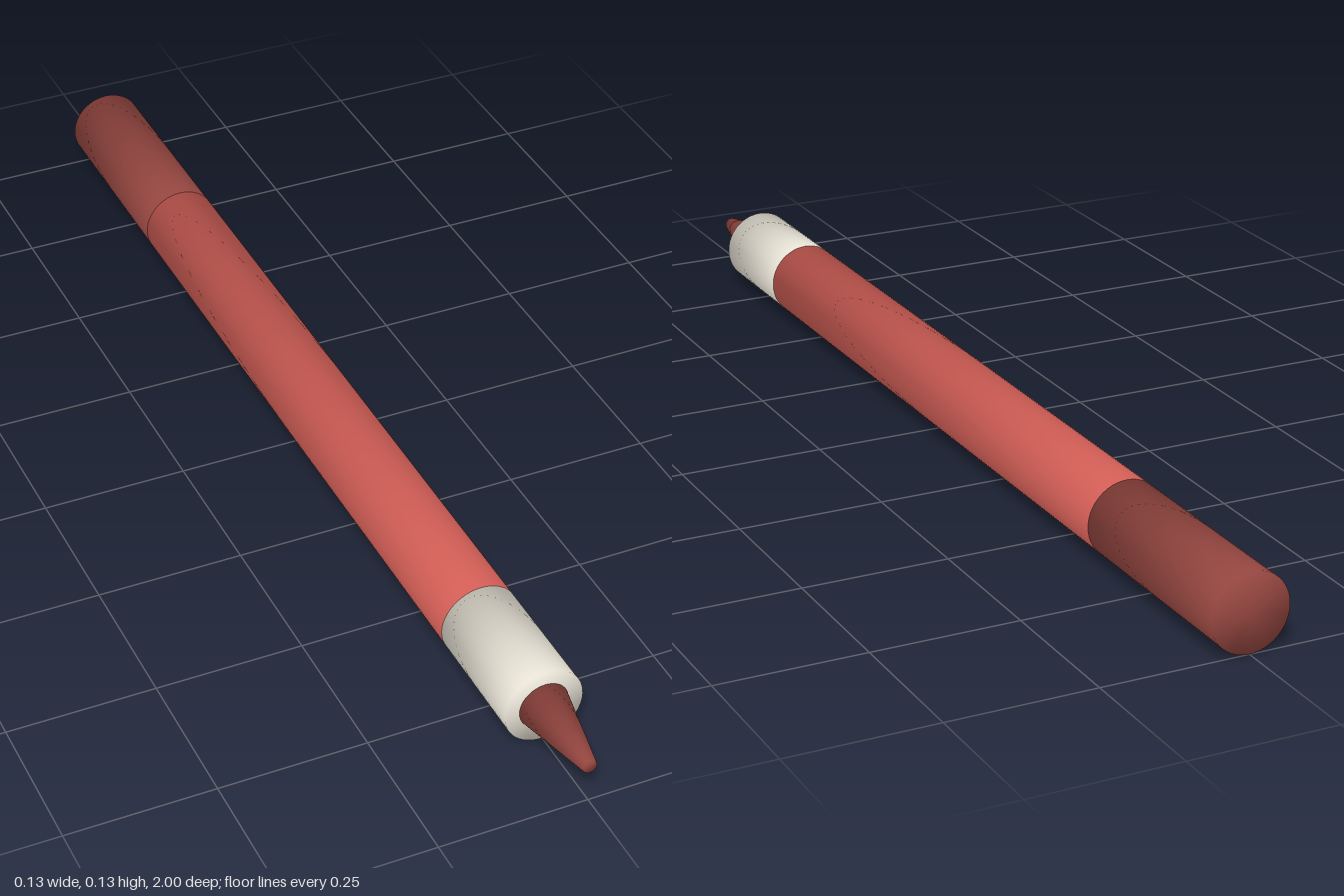
import * as THREE from 'three';

const R = 0.067; // barrel radius, also the height of its axis

// Closed round section along z, with normals blended softly over both rims.
function section(name, color, z0, z1, r0 = R, r1 = R) {
  const profile = [[0, z0], [r0, z0], [r1, z1], [0, z1]].map(([r, z]) => new THREE.Vector2(r, z));
  const geometry = new THREE.LatheGeometry(profile, 48);
  const position = geometry.attributes.position;
  const normal = geometry.attributes.normal;
  const n = new THREE.Vector3();
  for (let i = 0; i < position.count; i++) {
    const end = i % 4 < 2 ? -1 : 1;
    n.set(position.getX(i), 0, position.getZ(i)).normalize();
    n.y = end;
    // tapered sides lean towards the narrow end
    if (n.x || n.z) n.y += (r0 - r1) / (z1 - z0);
    n.normalize();
    normal.setXYZ(i, n.x, n.y, n.z);
  }
  geometry.rotateX(Math.PI / 2);
  const mesh = new THREE.Mesh(geometry, new THREE.MeshStandardMaterial({ color }));
  mesh.name = name;
  mesh.position.y = R;
  return mesh;
}

export function createModel() {
  const pen = new THREE.Group();
  pen.name = 'pen';
  pen.add(
    section('endCap', 0x954640, -1, -0.62),
    section('barrel', 0xd25e56, -0.62, 0.63),
    section('collar', 0xe8e3d6, 0.63, 0.85),
    section('tip', 0x954640, 0.85, 1, 0.042, 0.012),
  );
  return pen;
}
